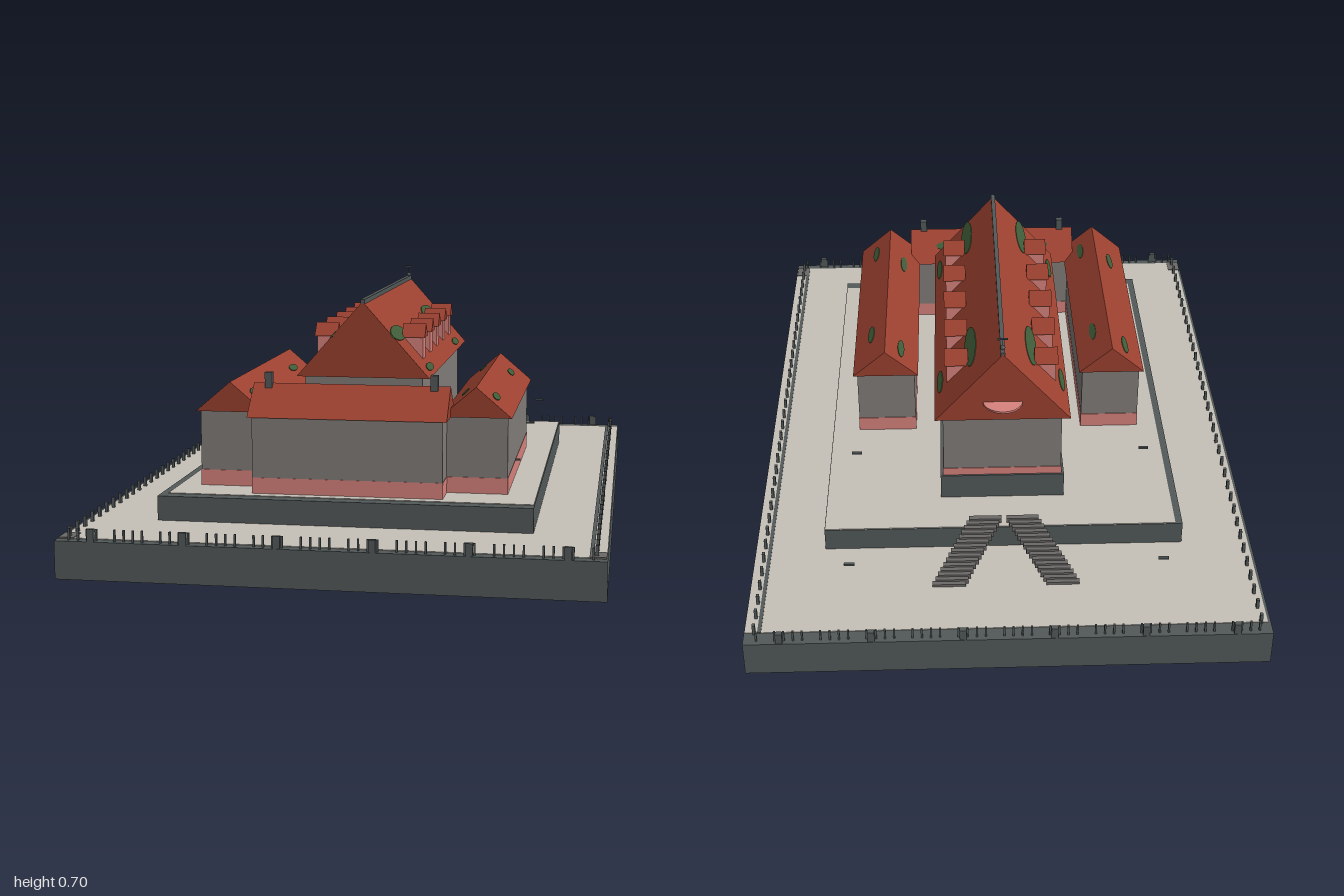
import * as THREE from 'three';

const mat = (name, color) => {
  const m = new THREE.MeshStandardMaterial({ color });
  m.name = name;
  return m;
};

export function createModel() {
  const root = new THREE.Group();
  root.name = 'courtyardManor';
  const slate = mat('darkSlate', 0x535a5a);
  const ground = mat('paleGround', 0xc6c1b8);
  const stone = mat('greyWall', 0x827e7a);
  const pink = mat('pinkPlaster', 0xd9837d);
  const tile = mat('redTile', 0x9c4130);
  const moss = mat('moss', 0x3f5c38);
  const step = mat('stepStone', 0x6c6a68);

  const add = (name, geo, m, parent = root) => {
    const mesh = new THREE.Mesh(geo, m);
    mesh.name = name;
    parent.add(mesh);
    return mesh;
  };
  // Box given by its lower and upper corners
  const box = (name, m, x0, x1, y0, y1, z0, z1, parent = root) => {
    const b = add(name, new THREE.BoxGeometry(x1 - x0, y1 - y0, z1 - z0), m, parent);
    b.position.set((x0 + x1) / 2, (y0 + y1) / 2, (z0 + z1) / 2);
    return b;
  };
  // Gabled prism with its ridge along z, or along x when turned
  const gable = (name, m, half, height, length, x, y, z, turned = false, parent = root) => {
    const s = new THREE.Shape();
    s.moveTo(-half, 0);
    s.lineTo(half, 0);
    s.lineTo(0, height);
    const g = new THREE.ExtrudeGeometry(s, { depth: length, bevelEnabled: false });
    g.translate(0, 0, -length / 2);
    if (turned) g.rotateY(Math.PI / 2);
    const p = add(name, g, m, parent);
    p.position.set(x, y, z);
    return p;
  };
  // Flat oval of moss: long along the ridge, lying on a slope facing yaw
  const mossPatch = (x, y, z, long, across, pitch, yaw, parent = root) => {
    const g = new THREE.CylinderGeometry(1, 1, 0.004, 16);
    g.scale(across, 1, long);
    g.rotateZ(-pitch);
    g.rotateY(yaw);
    add('mossPatch', g, moss, parent).position.set(x, y, z);
  };

  // Base and terrace, each with a paved top
  box('base', slate, -0.695, 0.695, 0, 0.1, -1, 1);
  box('yardGround', ground, -0.687, 0.693, 0.1, 0.102, -0.957, 0.972);
  box('yardKerb', slate, 0.65, 0.66, 0.1, 0.104, -0.957, 0.972);
  box('terrace', slate, -0.5, 0.5, 0.1, 0.168, -0.62, 0.745);
  box('terracePaving', ground, -0.48, 0.498, 0.168, 0.17, -0.618, 0.71);

  // Fence posts round the yard
  const fence = new THREE.Group();
  fence.name = 'fence';
  root.add(fence);
  for (const s of [-1, 1]) {
    for (let i = 0; i < 34; i++) {
      const z = -0.957 + i * 0.058;
      box('sidePost', slate, s * 0.668 - 0.004, s * 0.668 + 0.004, 0.1, 0.13, z - 0.005, z + 0.005, fence);
    }
    for (let i = 0; i < 56; i++) {
      if (i % 5 === 4) continue;
      const x = -0.66 + i * 0.024;
      box('endPost', slate, x - 0.0025, x + 0.0025, 0.1, 0.13, s * 0.985 - 0.003, s * 0.985 + 0.003, fence);
    }
    for (const x of [-0.6, -0.36, -0.12, 0.12, 0.36, 0.6])
      box('largePost', slate, x - 0.009, x + 0.009, 0.1, 0.132, s * 0.993 - 0.006, s * 0.993 + 0.006, fence);
    box('cornerPad', step, s * 0.672 - 0.02, s * 0.672 + 0.02, 0.1, 0.104, 0.92, 0.975, fence);
  }

  // Central hall
  box('hallPlinth', slate, -0.175, 0.175, 0.17, 0.245, -0.482, 0.415);
  box('hallBand', pink, -0.168, 0.168, 0.245, 0.268, -0.477, 0.412);
  box('hallWall', stone, -0.166, 0.166, 0.268, 0.46, -0.475, 0.41);
  gable('hallRoof', tile, 0.188, 0.212, 0.93, 0, 0.453, -0.04);
  box('hallRidge', slate, -0.006, 0.006, 0.658, 0.671, -0.505, 0.425);
  const hallPitch = Math.atan2(0.212, 0.188);
  for (const s of [-1, 1]) {
    const yaw = s > 0 ? 0 : Math.PI;
    for (const z of [0.33, -0.31]) {
      mossPatch(s * 0.085, 0.569, z, 0.1, 0.024, hallPitch, yaw);
      mossPatch(s * 0.172, 0.471, z - 0.03, 0.055, 0.012, hallPitch, yaw);
    }
    // Dormers
    for (let i = 0; i < 5; i++) {
      const z = 0.275 - i * 0.157;
      const d = new THREE.Group();
      d.name = 'dormer';
      root.add(d);
      const a = s * 0.09, b = s * 0.153;
      box('dormerBody', pink, Math.min(a, b), Math.max(a, b), 0.488, 0.558, z - 0.025, z + 0.025, d);
      gable('dormerRoof', tile, 0.034, 0.037, 0.066, s * 0.126, 0.554, z, true, d);
    }
  }
  // Half-round canopy and weather vane on the back gable
  add('canopy', new THREE.CylinderGeometry(0.055, 0.055, 0.006, 20), pink).position.set(0, 0.51, -0.5);
  add('finial', new THREE.SphereGeometry(0.007, 10, 8), slate).position.set(0, 0.675, -0.485);
  box('vaneRod', slate, -0.001, 0.001, 0.67, 0.702, -0.486, -0.484);
  box('vane', slate, -0.014, 0.014, 0.7, 0.704, -0.487, -0.483);

  // Side wings
  const wingPitch = Math.atan2(0.082, 0.096);
  for (const s of [-1, 1]) {
    const wing = new THREE.Group();
    wing.name = s > 0 ? 'leftWing' : 'rightWing';
    root.add(wing);
    const c = s * 0.335;
    box('wingBand', pink, c - 0.086, c + 0.086, 0.17, 0.213, -0.142, 0.592, wing);
    box('wingWall', stone, c - 0.085, c + 0.085, 0.213, 0.38, -0.14, 0.59, wing);
    gable('wingRoof', tile, 0.096, 0.082, 0.76, c, 0.376, 0.22, false, wing);
    for (const z of [0, 0.5])
      mossPatch(c + 0.045, 0.4196, z, 0.045, 0.012, wingPitch, 0, wing);
    for (const z of [-0.08, 0.43])
      mossPatch(c - 0.045, 0.4196, z, 0.045, 0.012, wingPitch, Math.PI, wing);
  }

  // Front range
  box('frontBand', pink, -0.257, 0.257, 0.17, 0.213, 0.525, 0.682);
  box('frontWall', stone, -0.256, 0.256, 0.213, 0.38, 0.526, 0.681);
  gable('frontRoof', tile, 0.0925, 0.082, 0.535, 0, 0.376, 0.598, true);
  for (const s of [-1, 1]) {
    mossPatch(s * 0.16, 0.418, 0.553, 0.024, 0.013, wingPitch, Math.PI / 2);
    box('chimney', slate, s * 0.225 - 0.01, s * 0.225 + 0.01, 0.43, 0.488, 0.592, 0.612);
  }

  // Twin stairs splaying out from the back of the terrace
  const stairs = new THREE.Group();
  stairs.name = 'stairs';
  root.add(stairs);
  const steps = 15;
  for (const s of [-1, 1])
    for (let i = 0; i < steps; i++) {
      const t = i / (steps - 1);
      const x = s * (0.052 + t * 0.103), y = 0.19 - t * 0.08, z = -0.603 - t * 0.18;
      box('step', step, x - 0.045, x + 0.045, y - 0.014, y, z - 0.008, z + 0.008, stairs);
    }

  // Small lamp bars beside the buildings
  for (const x of [-0.42, 0.42])
    for (const z of [-0.82, -0.32, 0.32])
      box('lampBar', slate, x - 0.014, x + 0.014, 0.211, 0.216, z - 0.004, z + 0.004);

  return root;
}
